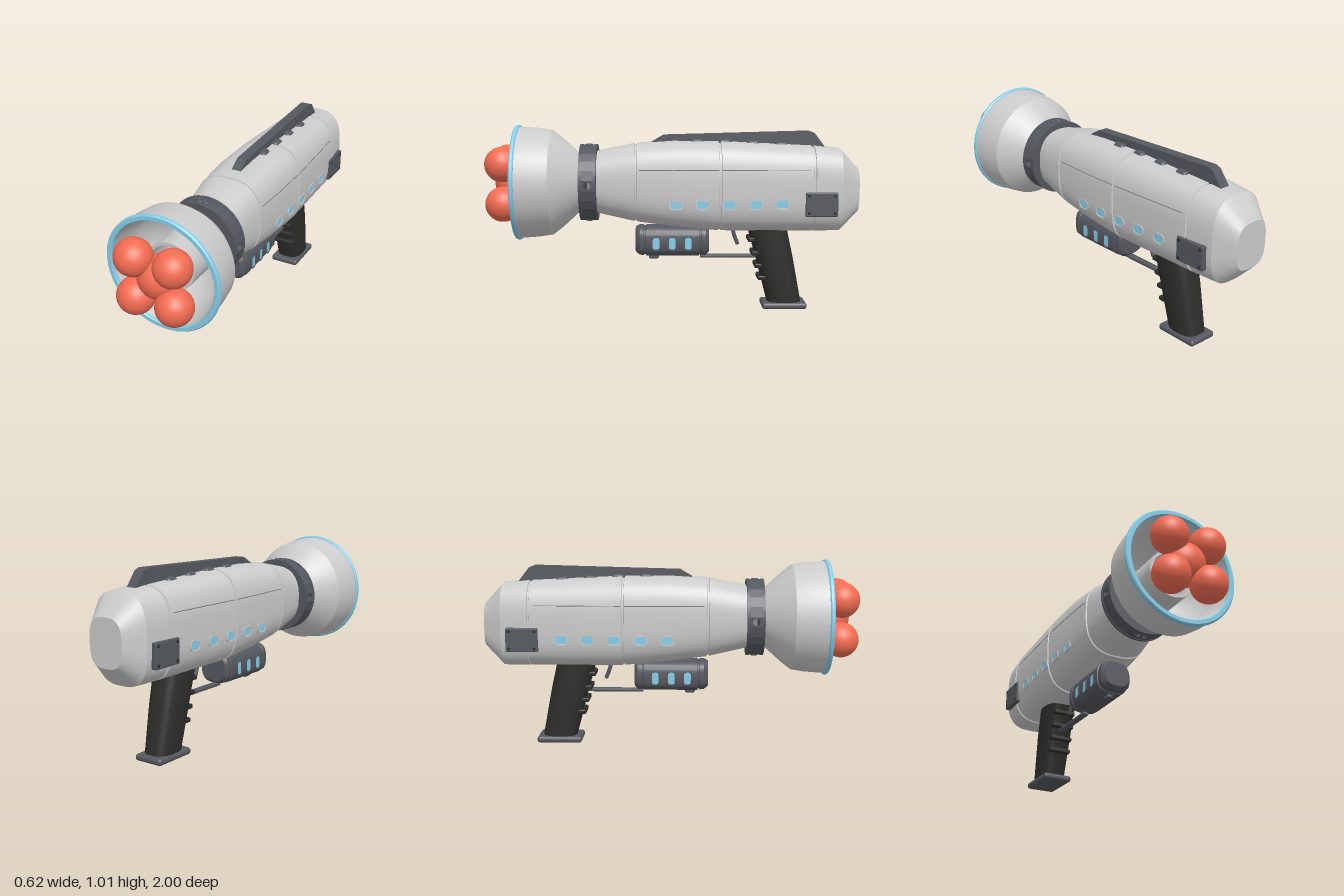
import * as THREE from 'three';
import { toCreasedNormals } from 'three/addons/utils/BufferGeometryUtils.js';
import { RoundedBoxGeometry } from 'three/addons/geometries/RoundedBoxGeometry.js';

const mat = (color) => new THREE.MeshStandardMaterial({ color });
const AXIS = 0.695;

// Skin over superellipse sections [z, top, bottom, halfWidth, exponent], in rising z
function loft(sections, n = 48) {
  const pos = [], idx = [];
  sections.forEach(([z, top, bot, w, e]) => {
    for (let j = 0; j < n; j++) {
      const a = (j / n) * Math.PI * 2, c = Math.cos(a), s = Math.sin(a);
      pos.push(Math.sign(c) * Math.abs(c) ** (2 / e) * w,
        (top + bot) / 2 + Math.sign(s) * Math.abs(s) ** (2 / e) * (top - bot) / 2, z);
    }
  });
  const rows = sections.length, last = (rows - 1) * n;
  for (let i = 0; i < rows - 1; i++) for (let j = 0; j < n; j++) {
    const a = i * n + j, b = i * n + (j + 1) % n;
    idx.push(a, b, b + n, a, b + n, a + n);
  }
  for (const s of [sections[0], sections[rows - 1]]) pos.push(0, (s[1] + s[2]) / 2, s[0]);
  for (let j = 0; j < n; j++) {
    const k = (j + 1) % n;
    idx.push(rows * n, k, j, rows * n + 1, last + j, last + k);
  }
  const g = new THREE.BufferGeometry();
  g.setAttribute('position', new THREE.Float32BufferAttribute(pos, 3));
  g.setIndex(idx);
  return toCreasedNormals(g, 0.45);
}

// Lathe about the z axis from [radius, z] points
function turned(points, segments = 64) {
  const g = new THREE.LatheGeometry(points.map(([r, z]) => new THREE.Vector2(r, z)), segments);
  return toCreasedNormals(g.rotateX(Math.PI / 2), 0.45);
}

function roundRect(w, h, r, Type = THREE.Shape) {
  const s = new Type(), x = w / 2 - r, y = h / 2 - r;
  s.absarc(x, y, r, 0, Math.PI / 2);
  s.absarc(-x, y, r, Math.PI / 2, Math.PI);
  s.absarc(-x, -y, r, Math.PI, Math.PI * 1.5);
  s.absarc(x, -y, r, Math.PI * 1.5, Math.PI * 2);
  s.closePath();
  return s;
}

const extrude = (shape, depth) => new THREE.ExtrudeGeometry(shape, { depth, bevelEnabled: false, curveSegments: 8 });

// Main body outline, rear to front
const HULL = [
  [-1, 0.775, 0.535, 0.1, 3], [-0.9, 0.882, 0.434, 0.163, 3], [-0.75, 0.897, 0.433, 0.178, 3],
  [-0.25, 0.921, 0.436, 0.195, 3], [0, 0.922, 0.46, 0.192, 3], [0.2, 0.909, 0.485, 0.183, 2.8],
  [0.415, 0.866, 0.532, 0.157, 2.4],
];
function hullAt(z) {
  let i = 0;
  while (i < HULL.length - 2 && HULL[i + 1][0] < z) i++;
  const t = (z - HULL[i][0]) / (HULL[i + 1][0] - HULL[i][0]);
  return HULL[i].map((v, k) => v + (HULL[i + 1][k] - v) * t);
}
function hullX(z, y) {
  const [, top, bot, w, e] = hullAt(z);
  const v = Math.abs(y - (top + bot) / 2) / ((top - bot) / 2);
  return w * (1 - v ** e) ** (1 / e);
}

export function createModel() {
  const root = new THREE.Group();
  const grey = mat(0xcccccc), seam = mat(0x77797c), dark = mat(0x55585f), black = mat(0x2d2d2b);
  const blue = mat(0x87cde8), red = mat(0xf46c52);
  const add = (name, geo, m, x = 0, y = 0, z = 0, parent = root) => {
    const mesh = new THREE.Mesh(geo, m);
    mesh.name = name;
    mesh.position.set(x, y, z);
    parent.add(mesh);
    return mesh;
  };

  // Body with panel grooves cut round it
  const grooves = [-0.75, -0.25, 0.2];
  const rings = HULL.filter((s) => !grooves.includes(s[0]));
  for (const g of grooves) for (const [dz, cut] of [[-0.007, 0], [-0.005, 0.007], [0.005, 0.007], [0.007, 0]]) {
    const [z, t, b, w, e] = hullAt(g + dz);
    rings.push([z, t - cut, b + cut, w - cut, e]);
  }
  add('body', loft(rings.sort((a, b) => a[0] - b[0]), 64), grey);

  // Bell, its blue lip and the inner socket
  add('bell', turned([[0.001, 0.49], [0.145, 0.49], [0.2, 0.55], [0.245, 0.6], [0.284, 0.65], [0.295, 0.72], [0.302, 0.82],
    [0.302, 0.835], [0.281, 0.835], [0.25, 0.66], [0.2, 0.59], [0.12, 0.53], [0.001, 0.53]]), grey, 0, AXIS);
  add('bellLip', turned([[0.28, 0.82], [0.305, 0.82], [0.311, 0.826], [0.311, 0.838], [0.305, 0.845],
    [0.285, 0.845], [0.28, 0.838], [0.28, 0.82]]), blue, 0, AXIS);
  add('socket', turned([[0.128, 0.52], [0.128, 0.76], [0.112, 0.76], [0.112, 0.52]]), grey, 0, AXIS);

  // Cluster of balls in the bell
  const ball = new THREE.SphereGeometry(0.094, 40, 28);
  for (const sx of [-1, 1]) for (const sy of [-1, 1]) add('outerBall', ball, red, sx * 0.106, AXIS + sy * 0.106, 0.906);
  add('centreBall', new THREE.SphereGeometry(0.11, 40, 28), red, 0, AXIS, 0.853);

  // Hollow collar made of flat plates, some pierced
  const collar = new THREE.Group();
  collar.name = 'collar';
  root.add(collar);
  const count = 24, plateW = 2 * 0.205 * Math.tan(Math.PI / count);
  const holes = { 0: [0], 6: [-0.019, 0.019], 12: [0], 18: [-0.019, 0.019] };
  for (let i = 0; i < count; i++) {
    const a = (i / count) * Math.PI * 2, plate = new THREE.Shape();
    const hw = plateW / 2, offsets = holes[i] || [];
    plate.moveTo(-hw, -0.04).lineTo(hw, -0.04).lineTo(hw, 0.04).lineTo(-hw, 0.04).closePath();
    for (const o of offsets) {
      const r = offsets.length > 1 ? 0.005 : 0.02;
      const hole = new THREE.Path();
      hole.absarc(offsets.length > 1 ? o * 0.9 : o, 0, offsets.length > 1 ? 0.009 : r, 0, Math.PI * 2);
      plate.holes.push(hole);
    }
    const radial = new THREE.Vector3(Math.cos(a), Math.sin(a), 0);
    const m = new THREE.Matrix4().makeBasis(new THREE.Vector3(-radial.y, radial.x, 0), new THREE.Vector3(0, 0, 1), radial);
    m.setPosition(radial.x * 0.187, AXIS + radial.y * 0.187, 0.453);
    add('collarPlate', extrude(plate, 0.016).applyMatrix4(m), dark, 0, 0, 0, collar);
    // Raised rims round the paired holes
    for (const o of offsets.length > 1 ? offsets : []) {
      const rim = new THREE.TorusGeometry(0.014, 0.005, 8, 20).translate(o * 0.9, 0, 0.017).applyMatrix4(m);
      add('collarHoleRim', rim, dark, 0, 0, 0, collar);
    }
  }
  for (const z of [0.414, 0.492]) {
    add('collarFlange', turned([[0.001, z - 0.007], [0.207, z - 0.007], [0.207, z + 0.007], [0.001, z + 0.007]], 48), dark, 0, AXIS, 0, collar);
  }

  // Top rail with side pads
  const rail = new THREE.Shape([[0.115, 0.915], [0.05, 0.953], [-0.735, 0.974], [-0.765, 0.962], [-0.82, 0.89], [-0.82, 0.87], [0.115, 0.87]]
    .map(([z, y]) => new THREE.Vector2(z, y)));
  add('topRail', extrude(rail, 0.054).translate(0, 0, -0.027).rotateY(-Math.PI / 2), dark);
  for (const z of [-0.13, -0.28, -0.43, -0.58]) {
    add('railPad', new RoundedBoxGeometry(0.12, 0.05, 0.072, 3, 0.02), dark, 0, hullAt(z)[1] - 0.014, z);
  }

  // Framed window on the side of a surface
  const windowPane = (name, side, x, y, z, w, h, frameMat) => {
    const g = new THREE.Group();
    g.name = name;
    const r = Math.min(w, h) * 0.38;
    const frame = roundRect(w + 0.012, h + 0.012, r + 0.006);
    frame.holes.push(roundRect(w, h, r, THREE.Path));
    add('frame', extrude(frame, 0.016), frameMat, 0, 0, -0.011, g);
    add('pane', extrude(roundRect(w, h, r), 0.012), blue, 0, 0, -0.0105, g);
    g.position.set(side * x, y, z);
    g.rotation.y = side * Math.PI / 2;
    root.add(g);
  };

  for (const side of [-1, 1]) {
    for (let i = 0; i < 5; i++) {
      const z = -0.015 - i * 0.14;
      windowPane('bodyWindow', side, hullX(z, 0.595), 0.595, z, 0.062, 0.045, grey);
    }
    for (const z of [0.092, 0.005, -0.082]) windowPane('podWindow', side, 0.089, 0.37, z, 0.036, 0.066, dark);

    // Bolted plate near the rear
    const px = hullX(-0.785, 0.593);
    add('sidePlate', new RoundedBoxGeometry(0.03, 0.128, 0.172, 2, 0.006), dark, side * (px + 0.001), 0.593, -0.785);
    for (const dy of [-0.046, 0.046]) for (const dz of [-0.068, 0.068]) {
      add('plateBolt', new THREE.CylinderGeometry(0.008, 0.008, 0.01, 12).rotateZ(Math.PI / 2), black, side * (px + 0.014), 0.593 + dy, -0.785 + dz);
    }

    // Long seam lines
    for (const [z0, z1] of [[-0.72, -0.26], [-0.24, 0.18]]) {
      const pts = [0, 1, 2, 3, 4].map((k) => {
        const z = z0 + (z1 - z0) * k / 4;
        return new THREE.Vector3(side * hullX(z, 0.775), 0.775, z);
      });
      add('sideSeam', new THREE.TubeGeometry(new THREE.CatmullRomCurve3(pts), 16, 0.002, 6), seam);
    }
  }

  // Pod slung under the body
  add('pod', loft([[-0.195, 0.45, 0.312, 0.076, 3], [-0.178, 0.46, 0.296, 0.088, 3], [-0.155, 0.46, 0.296, 0.088, 3],
    [-0.152, 0.456, 0.3, 0.084, 3], [-0.146, 0.456, 0.3, 0.084, 3], [-0.143, 0.46, 0.293, 0.09, 3], [0.145, 0.46, 0.293, 0.09, 3],
    [0.148, 0.456, 0.3, 0.084, 3], [0.156, 0.456, 0.3, 0.084, 3], [0.159, 0.46, 0.296, 0.088, 3], [0.182, 0.46, 0.298, 0.086, 3],
    [0.203, 0.45, 0.316, 0.068, 3]]), dark);
  add('podFoot', new RoundedBoxGeometry(0.035, 0.03, 0.055, 2, 0.008), dark, 0, 0.289, 0.105);

  // Trigger and its guard bar
  add('guardBar', new RoundedBoxGeometry(0.036, 0.018, 0.32, 2, 0.006), dark, 0, 0.287, -0.31);
  const bend = new THREE.CatmullRomCurve3([[0.45, -0.325], [0.4, -0.338], [0.352, -0.357]].map(([y, z]) => new THREE.Vector3(0, y, z)));
  add('trigger', new THREE.TubeGeometry(bend, 12, 0.011, 10), dark);

  // Raked grip, finger ribs and foot
  add('grip', loft([[0.03, 0.708, 0.522, 0.074, 2.8], [0.28, 0.66, 0.456, 0.084, 2.8], [0.46, 0.62, 0.405, 0.086, 2.8]]).rotateX(-Math.PI / 2), black);
  for (const y of [0.385, 0.31, 0.24, 0.172]) {
    add('fingerRib', new RoundedBoxGeometry(0.125, 0.024, 0.05, 2, 0.007), black, 0, y, -0.453 - (0.31 - y) * 0.265);
  }
  add('gripFoot', new RoundedBoxGeometry(0.168, 0.036, 0.246, 4, 0.016), dark, 0, 0.018, -0.612);

  return root;
}
